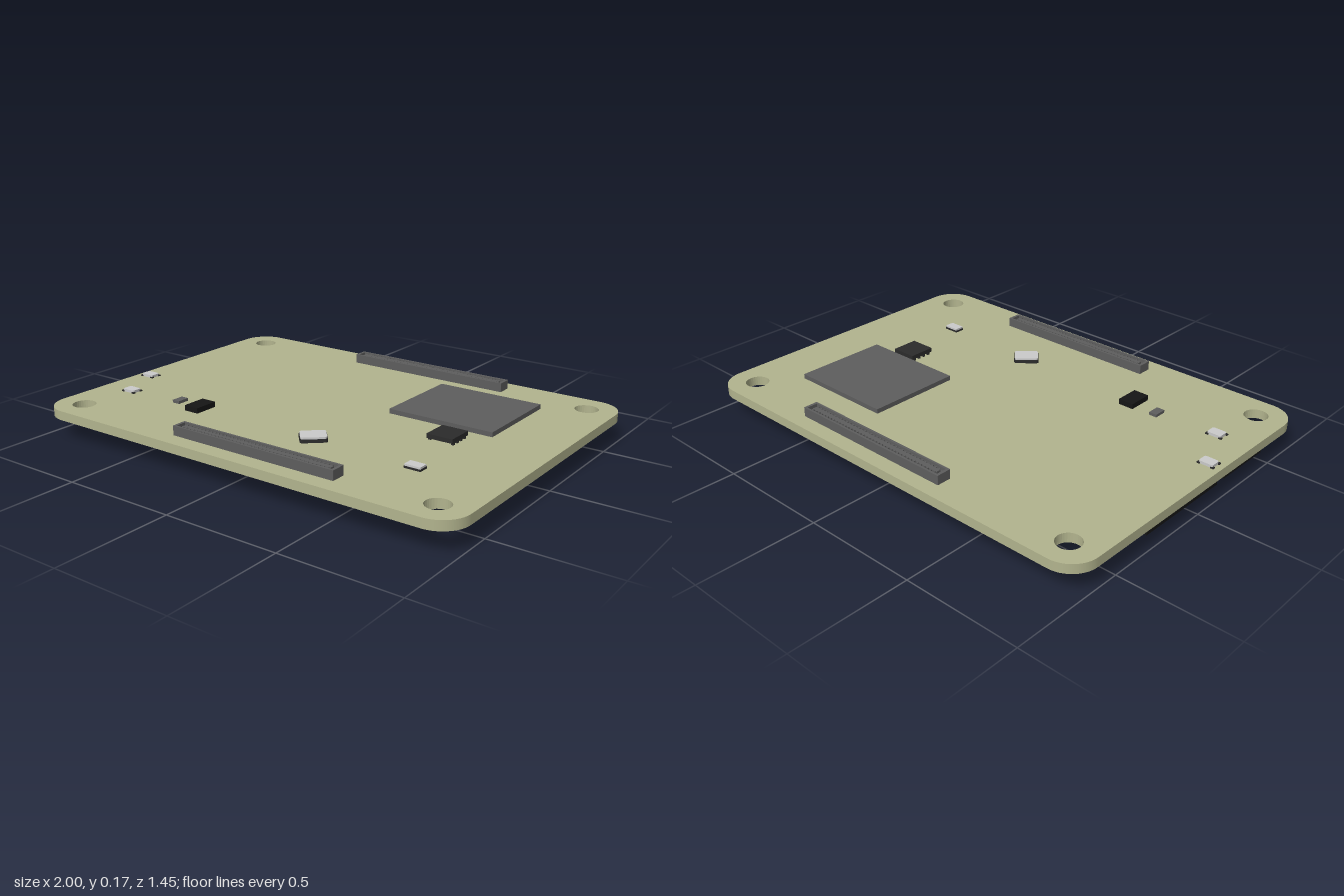
import * as THREE from 'three';

const mat = (color, side = THREE.FrontSide) => new THREE.MeshStandardMaterial({ color, side });
const M = {
  board: mat(0xb2b48e), dark: mat(0x5e5e5e), black: mat(0x161616), chip: mat(0x2b2b2b),
  grey: mat(0xcccccc), shield: mat(0xa0a0a0), green: mat(0x0b5c10), gold: mat(0xb8a41c),
  steel: mat(0x9ba2bb), blue: mat(0x14148c),
};
const BOTTOM = 0.09, TOP = 0.13;

export function createModel() {
  const root = new THREE.Group();

  const add = (name, geometry, material, parent = root) => {
    const mesh = new THREE.Mesh(geometry, material);
    mesh.name = name;
    parent.add(mesh);
    return mesh;
  };
  // Box given by its ranges along x, y and z
  const box = (name, material, [x0, x1], [y0, y1], [z0, z1], parent = root) => {
    const m = add(name, new THREE.BoxGeometry(x1 - x0, y1 - y0, z1 - z0), material, parent);
    m.position.set((x0 + x1) / 2, (y0 + y1) / 2, (z0 + z1) / 2);
    return m;
  };
  const group = (name, x = 0, y = 0, z = 0) => {
    const g = new THREE.Group();
    g.name = name;
    g.position.set(x, y, z);
    root.add(g);
    return g;
  };
  // Flat shape in plan, extruded upward
  const plate = (shape, height) =>
    new THREE.ExtrudeGeometry(shape, { depth: height, bevelEnabled: false, curveSegments: 16 }).rotateX(-Math.PI / 2);
  const roundedRect = (w, d, r) => {
    const s = new THREE.Shape(), a = w / 2, b = d / 2;
    s.absarc(a - r, b - r, r, 0, Math.PI / 2);
    s.absarc(-a + r, b - r, r, Math.PI / 2, Math.PI);
    s.absarc(-a + r, -b + r, r, Math.PI, Math.PI * 1.5);
    s.absarc(a - r, -b + r, r, Math.PI * 1.5, Math.PI * 2);
    s.closePath();
    return s;
  };

  // Circuit board with four mounting holes
  const outline = roundedRect(2, 1.445, 0.12);
  for (const x of [-0.872, 0.872]) for (const y of [-0.6, 0.6]) {
    outline.holes.push(new THREE.Path().absarc(x, y, 0.05, 0, Math.PI * 2, true));
  }
  add('circuitBoard', plate(outline, TOP - BOTTOM), M.board).position.y = BOTTOM;

  // Long header connectors: rim, floor, centre tongue and contacts
  for (const z of [-0.622, 0.618]) {
    const g = group('headerConnector', 0.0875, TOP, z);
    const rim = roundedRect(0.775, 0.065, 0.002);
    rim.holes.push(new THREE.Path([[-0.375, -0.023], [-0.375, 0.023], [0.375, 0.023], [0.375, -0.023]]
      .map(p => new THREE.Vector2(...p))));
    add('headerRim', plate(rim, 0.04), M.dark, g);
    box('headerFloor', M.dark, [-0.38, 0.38], [0, 0.024], [-0.028, 0.028], g);
    box('headerTongue', M.dark, [-0.36, 0.36], [0.02, 0.036], [-0.01, 0.01], g);
    const contacts = new THREE.InstancedMesh(new THREE.BoxGeometry(0.007, 0.014, 0.006), M.dark, 80);
    contacts.name = 'headerContacts';
    for (let i = 0; i < 80; i++) {
      contacts.setMatrixAt(i, new THREE.Matrix4().makeTranslation(
        -0.351 + (i >> 1) * 0.018, 0.03, i % 2 ? 0.0125 : -0.0125));
    }
    g.add(contacts);
  }

  // Top side: processor and leaded chip
  box('processor', M.dark, [0.255, 0.73], [0.142, 0.162], [-0.455, -0.038]);
  box('powerChip', M.chip, [0.525, 0.64], [0.14, 0.158], [-0.008, 0.112]);
  for (let i = 0; i < 4; i++) for (const x of [0.532, 0.633]) {
    const z = 0.01 + i * 0.028;
    box('powerChipLead', M.chip, [x - 0.006, x + 0.006], [TOP, 0.143], [z - 0.006, z + 0.006]);
  }

  // Turned crystal can with a lid on a black base
  const crystal = group('crystal', 0.167, TOP, 0.361);
  crystal.rotation.y = Math.PI / 4 - 0.06;
  add('crystalBase', plate(roundedRect(0.11, 0.086, 0.012), 0.014), M.chip, crystal);
  add('crystalLid', plate(roundedRect(0.104, 0.08, 0.012), 0.01), M.grey, crystal).position.y = 0.012;

  // Small parts on the top side
  box('sensorChip', M.black, [-0.47, -0.4], [TOP, 0.153], [0.3, 0.408]);
  box('resistor', M.dark, [-0.584, -0.548], [TOP, 0.142], [0.308, 0.364]);
  box('oscillatorBase', M.chip, [0.606, 0.678], [TOP, 0.138], [0.354, 0.4]);
  box('oscillatorLid', M.grey, [0.608, 0.676], [0.138, 0.146], [0.356, 0.398]);
  for (const [x, z] of [[-0.84, 0.356], [-0.938, 0.147]]) {
    const g = group('button', x, TOP, z);
    add('buttonBody', plate(roundedRect(0.062, 0.046, 0.008), 0.012), M.grey, g);
    for (const sx of [-1, 1]) for (const sz of [-1, 1]) {
      box('buttonFoot', M.chip, [sx * 0.03 - 0.007, sx * 0.03 + 0.007], [0, 0.005],
        [sz * 0.021 - 0.006, sz * 0.021 + 0.006], g);
    }
  }

  // Underside: shielded radio module and its antenna socket
  box('radioBoard', M.green, [0.295, 0.71], [0.06, BOTTOM], [-0.557, -0.045]);
  box('radioShield', M.shield, [0.312, 0.693], [0.022, 0.06], [-0.543, -0.06]);
  const socket = group('antennaSocket', 0.905, 0, -0.4);
  box('socketBase', M.gold, [-0.035, 0.035], [0.074, BOTTOM], [-0.035, 0.035], socket);
  for (const s of [-1, 1]) {
    box('socketTab', M.gold, [s * 0.045 - 0.012, s * 0.045 + 0.012], [0.08, BOTTOM], [-0.02, 0.02], socket);
  }
  const ring = [[0.014, 0.076], [0.014, 0.045], [0.024, 0.045], [0.028, 0.05], [0.028, 0.056], [0.024, 0.06], [0.024, 0.076]];
  const ringMat = mat(0xb8a41c, THREE.DoubleSide);
  add('socketRing', new THREE.LatheGeometry(ring.map(p => new THREE.Vector2(...p)), 24), ringMat, socket);
  add('socketPin', new THREE.CylinderGeometry(0.005, 0.005, 0.03, 12), M.gold, socket).position.y = 0.062;

  // Underside: card holder, a flat body below a bent sheet
  box('cardHolderBody', M.steel, [-0.45, 0.12], [0.05, BOTTOM], [-0.195, 0.41]);
  const sheet = new THREE.Shape([[0.42, 0.05], [0.315, 0.05], [0.288, 0.014], [-0.078, 0.014], [-0.108, 0.05], [-0.205, 0.05],
    [-0.205, 0.036], [-0.118, 0.036], [-0.088, 0], [0.298, 0], [0.325, 0.036], [0.42, 0.036]]
    .map(([z, y]) => new THREE.Vector2(-z, y)));
  const sheetGeo = new THREE.ExtrudeGeometry(sheet, { depth: 0.62, bevelEnabled: false });
  add('cardHolderSheet', sheetGeo.rotateY(Math.PI / 2), M.steel).position.x = -0.475;

  // Underside: large and small memory packages, controller
  box('largeMemory', M.black, [-0.98, -0.545], [0.05, BOTTOM], [-0.3, 0.153]);
  box('smallMemory', M.black, [-0.98, -0.715], [0.055, BOTTOM], [0.2, 0.47]);
  box('controller', M.shield, [0.53, 0.75], [0.06, BOTTOM], [0.25, 0.495]);

  // Underside: blue switches with pairs of metal caps
  for (const x of [0.768, 0.515]) {
    const g = group('slideSwitch', x, 0, 0.135);
    box('switchBase', M.blue, [-0.09, 0.09], [0.072, BOTTOM], [-0.045, 0.045], g);
    for (const s of [-1, 1]) {
      box('switchCap', M.grey, [s * 0.048 - 0.034, s * 0.048 + 0.034], [0.05, 0.074], [-0.018, 0.018], g);
    }
  }

  // Underside: three-legged transistors around the controller
  const spots = [[0.85, 0.306], [0.85, 0.44], [0.743, 0.595], [0.63, 0.595], [0.53, 0.595], [0.42, 0.43], [0.425, 0.302]];
  for (const [x, z] of spots) {
    const g = group('transistor', x, 0, z);
    box('transistorBody', M.chip, [-0.035, 0.035], [0.06, 0.086], [-0.02, 0.02], g);
    for (const [lx, s] of [[-0.022, 1], [0.022, 1], [0, -1]]) {
      box('transistorLeg', M.chip, [lx - 0.007, lx + 0.007], [0.078, BOTTOM], [s * 0.027 - 0.01, s * 0.027 + 0.01], g);
    }
  }

  return root;
}
